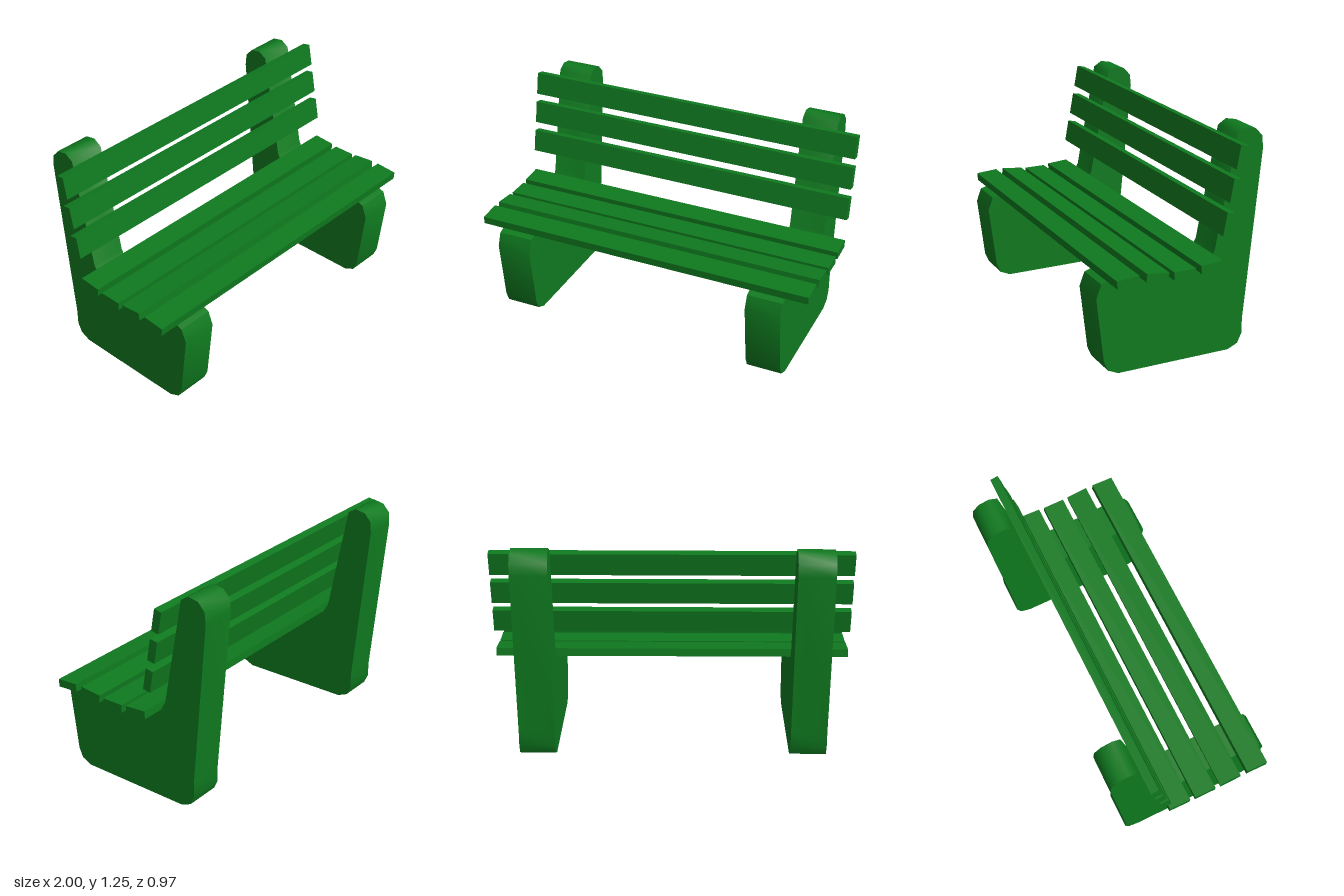
import * as THREE from 'three';
import { toCreasedNormals } from 'three/addons/utils/BufferGeometryUtils.js';

const material = new THREE.MeshStandardMaterial({ color: 0x0f7a1f, side: THREE.DoubleSide });

// Side outline as [z, y], from the front foot over the seat and back to the rear foot
const rim = [
  [0.42, 0.027], [0.444, 0.083], [0.487, 0.445], [0.458, 0.522], [0.41, 0.537],
  [0.3, 0.55], [0.136, 0.537], [0.02, 0.532], [-0.18, 0.547], [-0.21, 0.6],
  [-0.33, 1.224], [-0.378, 1.254], [-0.44, 1.242], [-0.48, 1.198], [-0.487, 1.13],
  [-0.395, 0.17], [-0.395, 0.083], [-0.37, 0.027],
];
const sole = [[-0.31, 0], [0.36, 0]];
const LEG_WIDTH = 0.205;

// Wall following the rim; the underside stays open
function rimGeometry() {
  const h = LEG_WIDTH / 2;
  const pos = [];
  for (let i = 0; i < rim.length - 1; i++) {
    const [az, ay] = rim[i];
    const [bz, by] = rim[i + 1];
    const a = [h, ay, az], b = [h, by, bz], c = [-h, by, bz], d = [-h, ay, az];
    pos.push(...a, ...b, ...c, ...a, ...c, ...d);
  }
  const geo = new THREE.BufferGeometry();
  geo.setAttribute('position', new THREE.Float32BufferAttribute(pos, 3));
  return toCreasedNormals(geo, 0.9);
}

function makeSupport(name, x) {
  const support = new THREE.Group();
  support.name = name;
  const wall = new THREE.Mesh(rimGeometry(), material);
  wall.name = name + 'Rim';
  support.add(wall);

  // Flat cheeks on both sides
  const shape = new THREE.Shape([...rim, ...sole].map(([z, y]) => new THREE.Vector2(z, y)));
  for (const side of [-1, 1]) {
    const geo = new THREE.ShapeGeometry(shape).rotateY(-Math.PI / 2);
    if (side > 0) { // turn the face outwards
      const index = geo.index.array;
      for (let i = 0; i < index.length; i += 3) [index[i], index[i + 1]] = [index[i + 1], index[i]];
      geo.computeVertexNormals();
    }
    const cheek = new THREE.Mesh(geo, material);
    cheek.name = name + (side > 0 ? 'LeftCheek' : 'RightCheek');
    cheek.position.x = side * LEG_WIDTH / 2;
    support.add(cheek);
  }
  support.position.x = x;
  return support;
}

function makeSlat(name, height, depth, [z, y, tilt]) {
  const slat = new THREE.Mesh(new THREE.BoxGeometry(2, height, depth), material);
  slat.name = name;
  slat.position.set(0, y, z);
  slat.rotation.x = tilt;
  return slat;
}

export function createModel() {
  const bench = new THREE.Group();
  bench.name = 'bench';
  bench.add(makeSupport('rightSupport', -0.777), makeSupport('leftSupport', 0.763));

  // Seat slats: z, y, tilt
  [[0.37, 0.567, 0.075], [0.202, 0.565, -0.1], [0.043, 0.554, 0], [-0.118, 0.566, 0.075]]
    .forEach((s, i) => bench.add(makeSlat('seatSlat' + (i + 1), 0.045, 0.128, s)));

  // Backrest slats, leaning back
  [[-0.212, 0.786, -0.18], [-0.247, 0.964, -0.18], [-0.28, 1.14, -0.18]]
    .forEach((s, i) => bench.add(makeSlat('backSlat' + (i + 1), 0.129, 0.047, s)));

  return bench;
}
